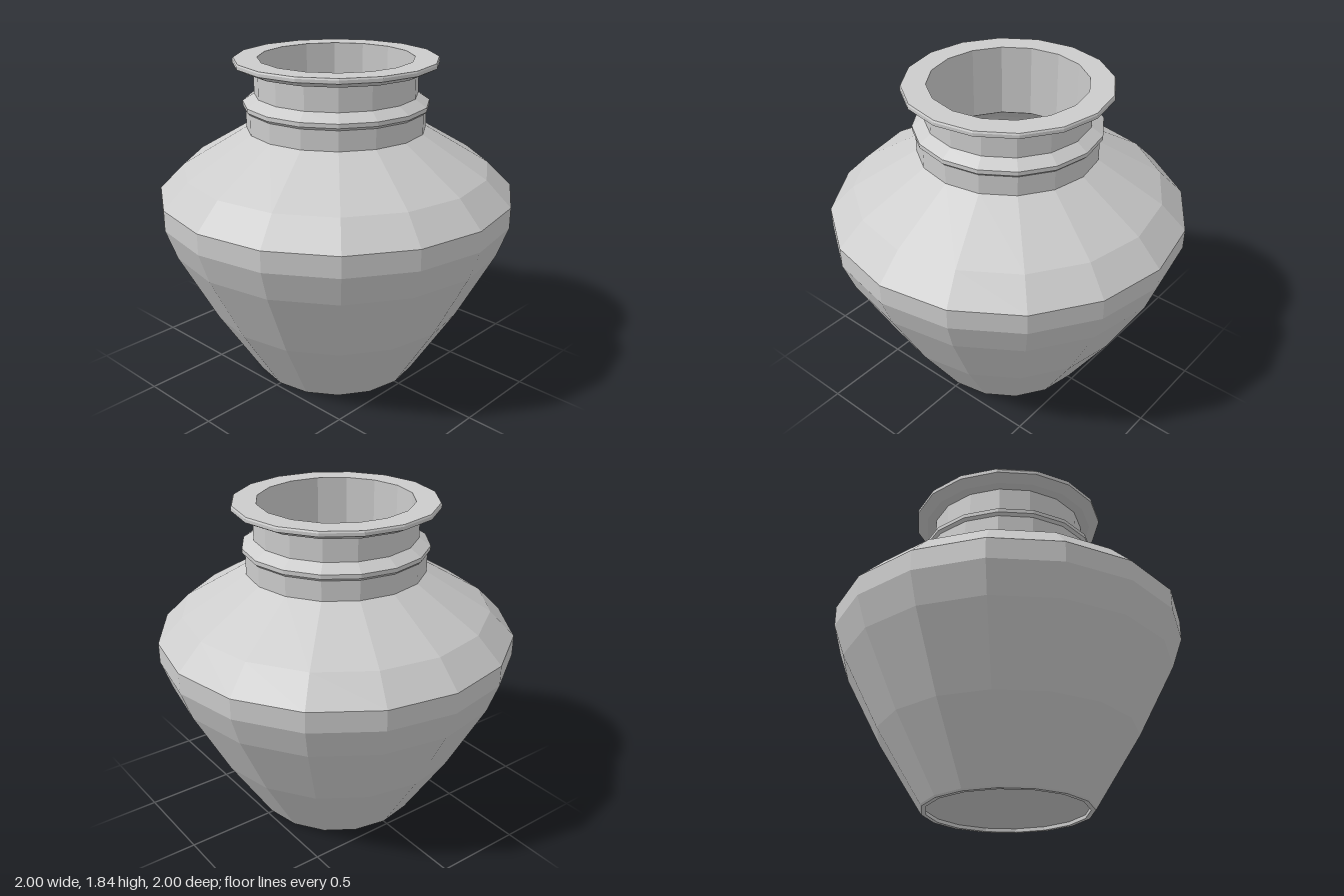
import * as THREE from 'three';

const SIDES = 16;

// Faceted ring of the pot, turned from [radius, height] pairs
function turned(name, profile, material) {
  const points = profile.map(([r, y]) => new THREE.Vector2(r, y));
  const mesh = new THREE.Mesh(new THREE.LatheGeometry(points, SIDES), material);
  mesh.name = name;
  return mesh;
}

export function createModel() {
  const pot = new THREE.Group();
  pot.name = 'pot';
  const clay = new THREE.MeshStandardMaterial({ color: 0xcccccc, flatShading: true });

  // Profiles run from the underside, up the outside, then down the inside
  const parts = {
    // Recessed underside with a narrow foot ring
    base: [[0, 0.02], [0.445, 0.02], [0.445, 0], [0.47, 0], [0.478, 0.01]],
    // Tapering belly and sloping shoulder
    body: [[0.478, 0.01], [0.73, 0.41], [0.94, 0.81], [1, 0.98], [1, 1.095], [0.86, 1.235], [0.5, 1.45]],
    // Lower neck with its raised band
    collar: [[0.5, 1.45], [0.5, 1.56], [0.516, 1.575], [0.516, 1.598], [0.452, 1.64]],
    neck: [[0.452, 1.64], [0.452, 1.775]],
    // Flared lip with a flat top
    rim: [[0.452, 1.775], [0.505, 1.78], [0.565, 1.81], [0.565, 1.828], [0.56, 1.837], [0.43, 1.837]],
    // Hollow inside, down to a flat floor
    interior: [[0.43, 1.837], [0.43, 1.43], [0.81, 1.2], [0.94, 1.07], [0.94, 1],
      [0.88, 0.82], [0.67, 0.42], [0.45, 0.07], [0, 0.07]],
  };
  for (const [name, profile] of Object.entries(parts)) pot.add(turned(name, profile, clay));

  return pot;
}
